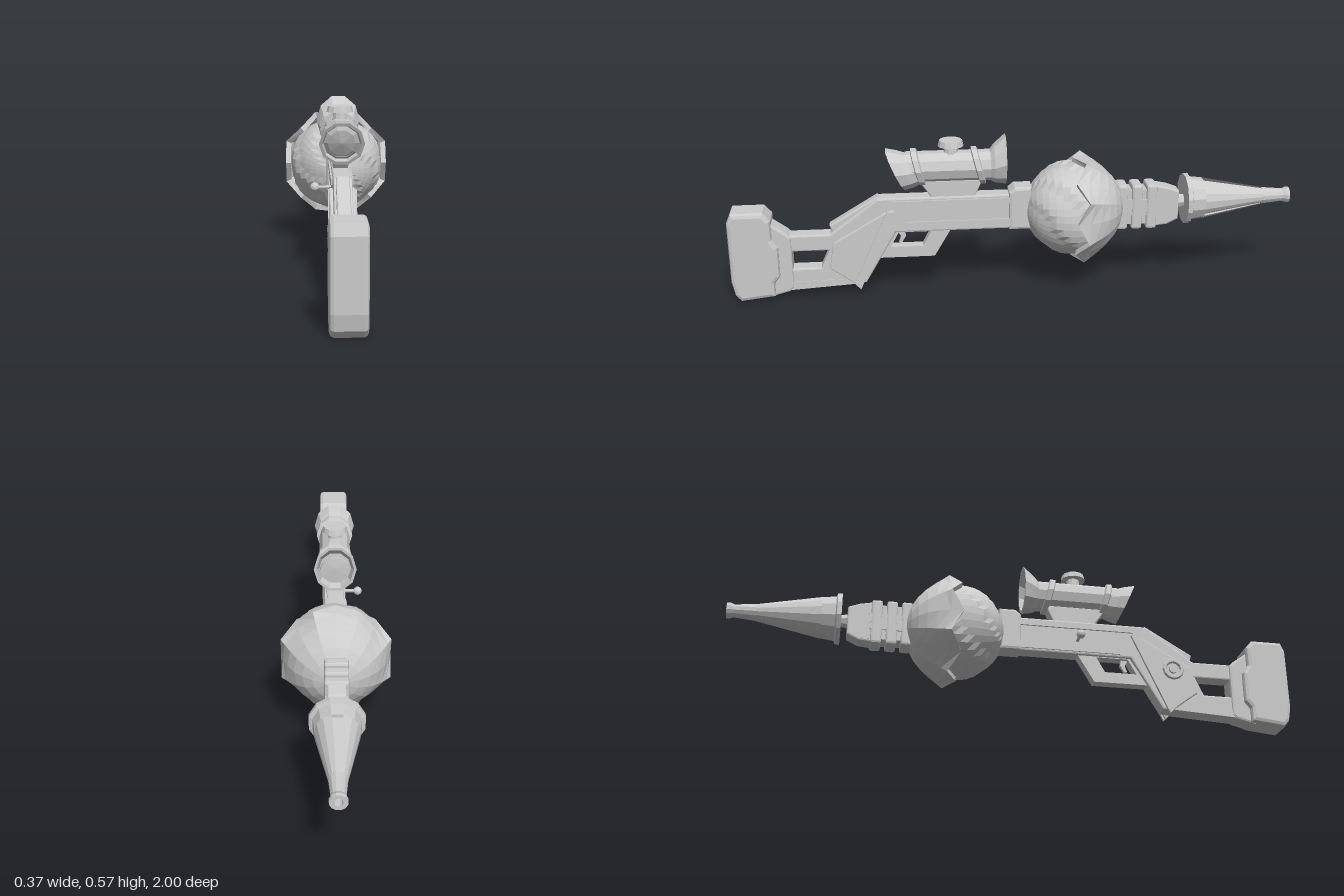
import * as THREE from 'three';
import { RoundedBoxGeometry } from 'three/addons/geometries/RoundedBoxGeometry.js';

const mat = new THREE.MeshStandardMaterial({ color: 0xcccccc, flatShading: true, side: THREE.DoubleSide });

export function createModel() {
  const root = new THREE.Group();

  const add = (name, geo, x = 0, y = 0, z = 0, parent = root) => {
    const m = new THREE.Mesh(geo, mat);
    m.name = name;
    m.position.set(x, y, z);
    parent.add(m);
    return m;
  };

  // Side outline given as [z, y] points, extruded to a total width across x
  const plate = (name, pts, width, { bevel = 0, holes = [], x = 0 } = {}) => {
    const toV = ([a, b]) => new THREE.Vector2(a, b);
    const shape = new THREE.Shape(pts.map(toV));
    holes.forEach(h => shape.holes.push(new THREE.Path(h.map(toV))));
    const depth = width - 2 * bevel;
    const geo = new THREE.ExtrudeGeometry(shape, {
      depth, bevelEnabled: bevel > 0, bevelSize: bevel, bevelOffset: -bevel,
      bevelThickness: bevel, bevelSegments: 2,
    });
    geo.translate(0, 0, -depth / 2);
    geo.rotateY(-Math.PI / 2);
    return add(name, geo, x);
  };

  // Profile of [radius, z] points turned about the z axis
  const turned = (pts, sides, start = Math.PI / sides, length = Math.PI * 2) =>
    new THREE.LatheGeometry(pts.map(([r, z]) => new THREE.Vector2(r, z)), sides, start, length)
      .rotateX(Math.PI / 2);

  const deform = (geo, fn) => {
    const p = geo.attributes.position, v = new THREE.Vector3();
    for (let i = 0; i < p.count; i++) {
      v.fromBufferAttribute(p, i);
      fn(v);
      p.setXYZ(i, v.x, v.y, v.z);
    }
    geo.computeVertexNormals();
    return geo;
  };

  // Stock and receiver in one open frame
  plate('stockAndReceiver', [
    [0.82, 0.24], [0.65, 0.24], [0.48, 0.366], [-0.04, 0.366], [-0.04, 0.238],
    [0.42, 0.238], [0.53, 0.05], [0.82, 0.04],
  ], 0.06, { bevel: 0.006, holes: [[[0.795, 0.18], [0.795, 0.115], [0.685, 0.115], [0.655, 0.18]]] });
  plate('stockTopStrip', [[0.65, 0.27], [0.48, 0.372], [0.455, 0.35], [0.64, 0.235]], 0.044, { bevel: 0.006 });
  plate('stockBottomStrip', [[0.8, 0.065], [0.8, 0.035], [0.55, 0.05], [0.55, 0.07]], 0.066);
  plate('buttPlate', [[0.87, 0.3], [0.8, 0.25], [0.785, 0.235], [0.785, 0.045], [0.8, 0.03], [0.87, 0.012]],
    0.074, { bevel: 0.008 });
  plate('buttPad', [
    [0.985, 0.335], [0.875, 0.335], [0.85, 0.305], [0.85, 0.235], [0.83, 0.205], [0.83, 0.095],
    [0.85, 0.07], [0.85, 0.02], [0.97, 0.006], [0.99, 0.03], [1, 0.08], [1, 0.3],
  ], 0.112, { bevel: 0.014 });

  // Side details on both sides of the frame
  for (const s of [-1, 1]) {
    plate('gripSidePlate', [[0.64, 0.21], [0.46, 0.315], [0.425, 0.325], [0.555, 0.035], [0.575, 0.055], [0.655, 0.115]],
      0.014, { bevel: 0.004, x: s * 0.034 });
    plate('gripEdge', [[0.45, 0.32], [0.42, 0.32], [0.55, 0.032], [0.572, 0.055]], 0.01, { x: s * 0.041 });
    add('receiverRail', new THREE.BoxGeometry(0.008, 0.02, 0.46), s * 0.032, 0.345, 0.2);
    add('receiverRail', new THREE.BoxGeometry(0.006, 0.03, 0.4), s * 0.032, 0.262, 0.18);
  }

  // Round badge on the right grip plate
  const badge = new THREE.Group();
  badge.name = 'gripBadge';
  badge.position.set(-0.043, 0.2, 0.57);
  badge.rotation.y = Math.PI / 2;
  root.add(badge);
  add('badgeRing', new THREE.TorusGeometry(0.032, 0.008, 6, 12), 0, 0, 0, badge);
  add('badgeCentre', new THREE.CylinderGeometry(0.016, 0.016, 0.014, 10).rotateX(Math.PI / 2), 0, 0, 0, badge);

  // Trigger guard and trigger
  plate('triggerGuard', [[0.41, 0.25], [0.22, 0.25], [0.285, 0.14], [0.48, 0.14]], 0.04,
    { holes: [[[0.41, 0.235], [0.295, 0.235], [0.325, 0.18], [0.44, 0.18]]] });
  plate('trigger', [[0.42, 0.245], [0.39, 0.245], [0.385, 0.215], [0.4, 0.19], [0.41, 0.192], [0.402, 0.215]], 0.014);

  // Bolt handle
  add('boltStem', new THREE.CylinderGeometry(0.006, 0.006, 0.06, 6).rotateZ(Math.PI / 2), -0.052, 0.29, 0.225);
  add('boltKnob', new THREE.IcosahedronGeometry(0.016, 1), -0.085, 0.29, 0.225);

  // Scope
  const scope = new THREE.Group();
  scope.name = 'scope';
  scope.position.set(0, 0.47, 0);
  root.add(scope);
  const slant = k => v => { v.z += k * v.y; };
  add('scopeTube', turned([[0.055, 0.05], [0.055, 0.38]], 10), 0, 0, 0, scope);
  add('eyepiece', deform(turned([[0.055, 0.35], [0.066, 0.38], [0.074, 0.415], [0.064, 0.415], [0.058, 0.385]], 10),
    slant(0.45)), 0, -0.006, 0, scope);
  add('eyeLens', deform(turned([[0.061, 0.385], [0.045, 0.394], [0.0001, 0.402]], 10), slant(0.45)), 0, -0.006, 0, scope);
  for (const z of [0.335, 0.125]) {
    add('scopeBand', deform(turned([[0.053, z - 0.013], [0.066, z - 0.009], [0.066, z + 0.009], [0.053, z + 0.013]], 10),
      slant(0.25)), 0, 0, 0, scope);
  }
  const flare = turned([[0.054, 0.085], [0.066, 0.07], [0.08, 0.03], [0.07, 0.03], [0.058, 0.06], [0.0001, 0.055]], 10);
  add('objectiveFlare', deform(flare, v => {
    const w = THREE.MathUtils.clamp((0.085 - v.z) / 0.055, 0, 1);
    v.x *= 1 - 0.06 * w;
    v.y = v.y * (1 + 0.12 * w) + 0.02 * w;
  }), 0, 0, 0, scope);
  add('turretStem', new THREE.CylinderGeometry(0.022, 0.026, 0.04, 10), 0, 0.06, 0.22, scope);
  add('turretCap', new THREE.CylinderGeometry(0.04, 0.045, 0.02, 12), 0, 0.084, 0.22, scope);
  plate('scopeMount', [[0.335, 0.425], [0.29, 0.36], [0.14, 0.36], [0.11, 0.425]], 0.05, { bevel: 0.005 });

  // Socket joining receiver and globe
  plate('globeSocket', [[0.02, 0.375], [0.0, 0.392], [-0.06, 0.392], [-0.06, 0.235], [0.02, 0.235]], 0.08, { bevel: 0.01 });

  // Globe with twisted ridges
  const globe = deform(new THREE.SphereGeometry(0.172, 40, 20).rotateX(Math.PI / 2), v => {
    const polar = Math.acos(THREE.MathUtils.clamp(v.z / 0.172, -1, 1));
    const turn = (Math.atan2(v.y, v.x) + polar * 1.1) / (Math.PI * 2) * 6;
    const ridge = ((turn % 1) + 1) % 1;
    v.multiplyScalar(1 - 0.05 * ridge * Math.sin(polar));
  });
  add('swirledGlobe', globe, 0, 0.3, -0.21);

  // Broken shell round the rear half, its rim an eight-pointed zigzag
  const R = 0.18, shellPts = [];
  for (let i = 0; i <= 7; i++) {
    const t = (i / 7) * Math.PI / 2;
    shellPts.push([Math.max(R * Math.sin(t), 0.0001), -R * Math.cos(t)]);
  }
  shellPts.push([0.162, 0]);
  const shell = deform(turned(shellPts, 16, 0), v => {
    const w = Math.pow(1 + v.z / R, 3), c = Math.cos(8 * Math.atan2(v.y, v.x));
    const k = 1 + w * (0.075 - 0.04 * c);
    v.x *= k;
    v.y *= k;
    v.z += w * (0.02 * c - 0.015);
  });
  add('globeShell', shell, 0, 0.3, -0.21);

  // Neck with slotted collars
  add('neckCore', new THREE.BoxGeometry(0.064, 0.13, 0.2), 0, 0.302, -0.44);
  for (const z of [-0.385, -0.437, -0.49]) {
    add('neckCollar', new RoundedBoxGeometry(0.08, 0.165, 0.038, 1, 0.008), 0, 0.302, z);
  }
  add('neckSpine', new THREE.BoxGeometry(0.074, 0.06, 0.15), 0, 0.302, -0.44);
  plate('neckTaper', [[-0.5, 0.38], [-0.55, 0.37], [-0.59, 0.355], [-0.59, 0.25], [-0.55, 0.23], [-0.5, 0.225]],
    0.062, { bevel: 0.006 });
  add('neckPin', new THREE.CylinderGeometry(0.018, 0.03, 0.06, 8).rotateX(-Math.PI / 2), 0, 0.31, -0.6);

  // Cone muzzle: inner cone, three outer panels with slots between, flanges
  const muzzle = new THREE.Group();
  muzzle.name = 'muzzle';
  muzzle.position.set(0, 0.317, 0);
  root.add(muzzle);
  add('muzzleCone', turned([[0.014, -0.95], [0.014, -1], [0.028, -1], [0.029, -0.99], [0.023, -0.975],
    [0.03, -0.9], [0.026, -0.9], [0.062, -0.68], [0.073, -0.68], [0.079, -0.632], [0.091, -0.628],
    [0.091, -0.612], [0.0001, -0.612]], 12), 0, 0, 0, muzzle);
  const gap = 0.5, span = (Math.PI * 2) / 3;
  for (let i = 0; i < 3; i++) {
    add('muzzlePanel', turned([[0.03, -0.9], [0.073, -0.68]], 4, Math.PI + gap / 2 + i * span, span - gap), 0, 0, 0, muzzle);
  }
  add('muzzleBore', turned([[0.014, -0.96], [0.0001, -0.96]], 12), 0, 0, 0, muzzle);

  return root;
}
